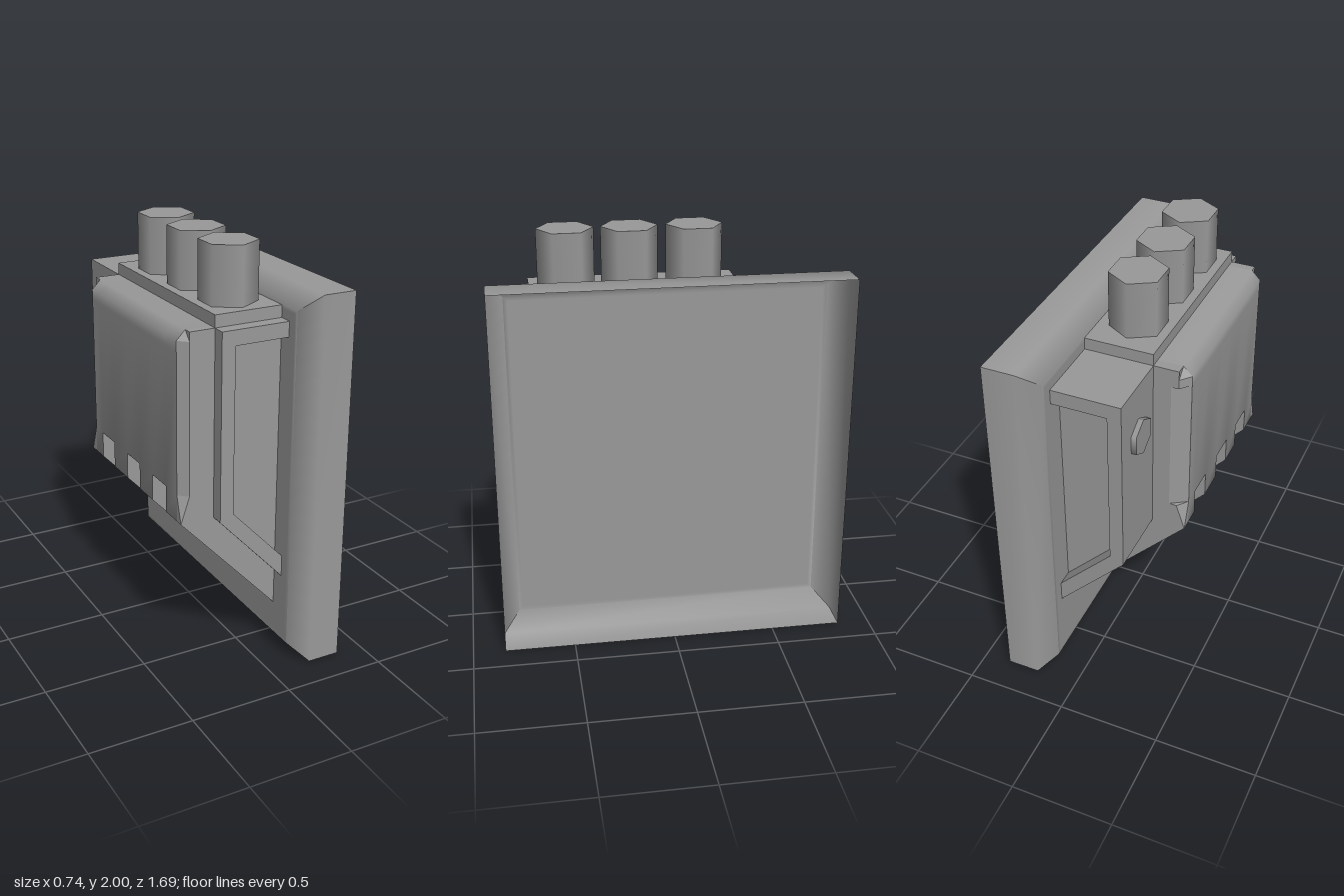
import * as THREE from 'three';
import { mergeGeometries, toCreasedNormals } from 'three/addons/utils/BufferGeometryUtils.js';

const grey = new THREE.MeshStandardMaterial({ color: 0x999999, side: THREE.DoubleSide });
const CREASE = 0.9;

function fromTriangles(pos) {
  const geo = new THREE.BufferGeometry();
  geo.setAttribute('position', new THREE.Float32BufferAttribute(pos, 3));
  geo.computeVertexNormals();
  return geo;
}

// side profile (x, y) extruded between two z positions
function slab(points, z0, z1) {
  const shape = new THREE.Shape(points.map(([x, y]) => new THREE.Vector2(x, y)));
  const geo = new THREE.ExtrudeGeometry(shape, { depth: z1 - z0, bevelEnabled: false });
  return geo.translate(0, 0, z0);
}

// loft from an inner profile to a capped outer profile with matching points
function endLoft(inner, zIn, outer, zOut) {
  const pos = [];
  const tri = (a, b, c) => (zOut > zIn ? pos.push(...a, ...b, ...c) : pos.push(...a, ...c, ...b));
  const I = inner.map(([x, y]) => [x, y, zIn]);
  const O = outer.map(([x, y]) => [x, y, zOut]);
  I.forEach((p, k) => {
    const n = (k + 1) % I.length;
    tri(p, I[n], O[n]);
    tri(p, O[n], O[k]);
  });
  const flat = outer.map(([x, y]) => new THREE.Vector2(x, y));
  for (const [a, b, c] of THREE.ShapeUtils.triangulateShape(flat, [])) tri(O[a], O[b], O[c]);
  return fromTriangles(pos);
}

// open sheet tray: rectangular rings [x, inset] from rim to floor
function trayGeometry() {
  const rings = [[0.369, 0], [0.21, 0], [0.127, 0.08], [0.127, 0.1]].map(([x, i]) => [
    [x, 1.81 - i, -0.843 + i], [x, 1.81 - i, 0.843 - i], [x, i, 0.843 - i], [x, i, -0.843 + i],
  ]);
  const pos = [];
  const quad = (a, b, c, d) => pos.push(...a, ...b, ...c, ...a, ...c, ...d);
  for (let r = 0; r < rings.length - 1; r++) {
    const a = rings[r], b = rings[r + 1];
    for (let k = 0; k < 4; k++) {
      const n = (k + 1) % 4;
      quad(a[k], b[k], b[n], a[n]);
    }
  }
  const f = rings[rings.length - 1];
  quad(f[0], f[3], f[2], f[1]);
  return toCreasedNormals(fromTriangles(pos), CREASE);
}

export function createModel() {
  const model = new THREE.Group();
  const add = (name, geo, parent = model) => {
    const mesh = new THREE.Mesh(geo, grey);
    mesh.name = name;
    parent.add(mesh);
    return mesh;
  };
  const zMin = -0.357, zMax = 0.636;

  add('mountingTray', trayGeometry());

  // housing core, with a raised C-shaped frame around the recess at each end
  add('housing', slab([[0.127, 1.667], [-0.205, 1.667], [-0.205, 0.77], [0.127, 0.415]], -0.62, 0.62));
  const frame = [[0.127, 1.667], [-0.205, 1.667], [-0.205, 0.77], [0.127, 0.415],
    [0.127, 0.52], [-0.138, 0.8], [-0.138, 1.595], [0.127, 1.595]];
  add('frontEndFrame', slab(frame, 0.62, 0.7));
  add('rearEndFrame', slab(frame, -0.7, -0.62));

  // cover panel: slices along z, alternately full and grooved underneath
  const cover = new THREE.Group();
  cover.name = 'coverPanel';
  model.add(cover);
  const roof = [[0.127, 1.667], [-0.327, 1.667]];
  const sill = [[-0.37, 0.77], [0.127, 0.24]];
  const top = [...roof, [-0.37, 1.623], [-0.37, 1.575], [-0.37, 0.9]];
  const full = [...top, ...sill];
  const grooved = [...top, [0.127, 0.37]];
  const rear = zMin + 0.05, front = zMax - 0.04;
  const slices = [];
  let z = rear;
  for (const c of [-0.155, 0.1375, 0.415]) {
    slices.push(slab(full, z, c - 0.07), slab(grooved, c - 0.07, c + 0.07));
    z = c + 0.07;
  }
  slices.push(slab(full, z, front));
  add('coverBody', toCreasedNormals(mergeGeometries(slices), CREASE), cover);

  // front edge: plain chamfer tapering to a sharp lower corner
  const bevelled = [...roof, [-0.327, 1.623], [-0.327, 1.575], [-0.327, 0.9], ...sill];
  add('coverFrontEdge', endLoft(full, front, bevelled, zMax), cover);

  // rear edge: same chamfer with a deeper cut between two ledges
  const cutInner = [...roof, [-0.37, 1.623], [-0.37, 1.576], [-0.37, 1.575],
    [-0.37, 0.901], [-0.37, 0.9], ...sill];
  const cutOuter = [...roof, [-0.327, 1.623], [-0.327, 1.576], [-0.29, 1.575],
    [-0.29, 0.901], [-0.327, 0.9], ...sill];
  add('coverRearEdge', endLoft(cutInner, rear, cutOuter, zMin), cover);

  // raised top block carrying three hexagonal knobs
  add('topBlock', slab([[0.127, 1.725], [-0.205, 1.725], [-0.205, 1.6], [0.127, 1.6]], zMin, zMax));
  for (const kz of [0.46, 0.158, -0.15]) {
    const knob = add('knob', new THREE.CylinderGeometry(0.135, 0.135, 0.28, 6));
    knob.position.set(-0.045, 1.86, kz);
  }

  // small hexagonal button on the exposed housing face
  const button = add('button', new THREE.CylinderGeometry(0.092, 0.092, 0.045, 6).rotateY(Math.PI / 2).rotateZ(Math.PI / 2));
  button.position.set(-0.207, 1.4, -0.52);

  return model;
}
